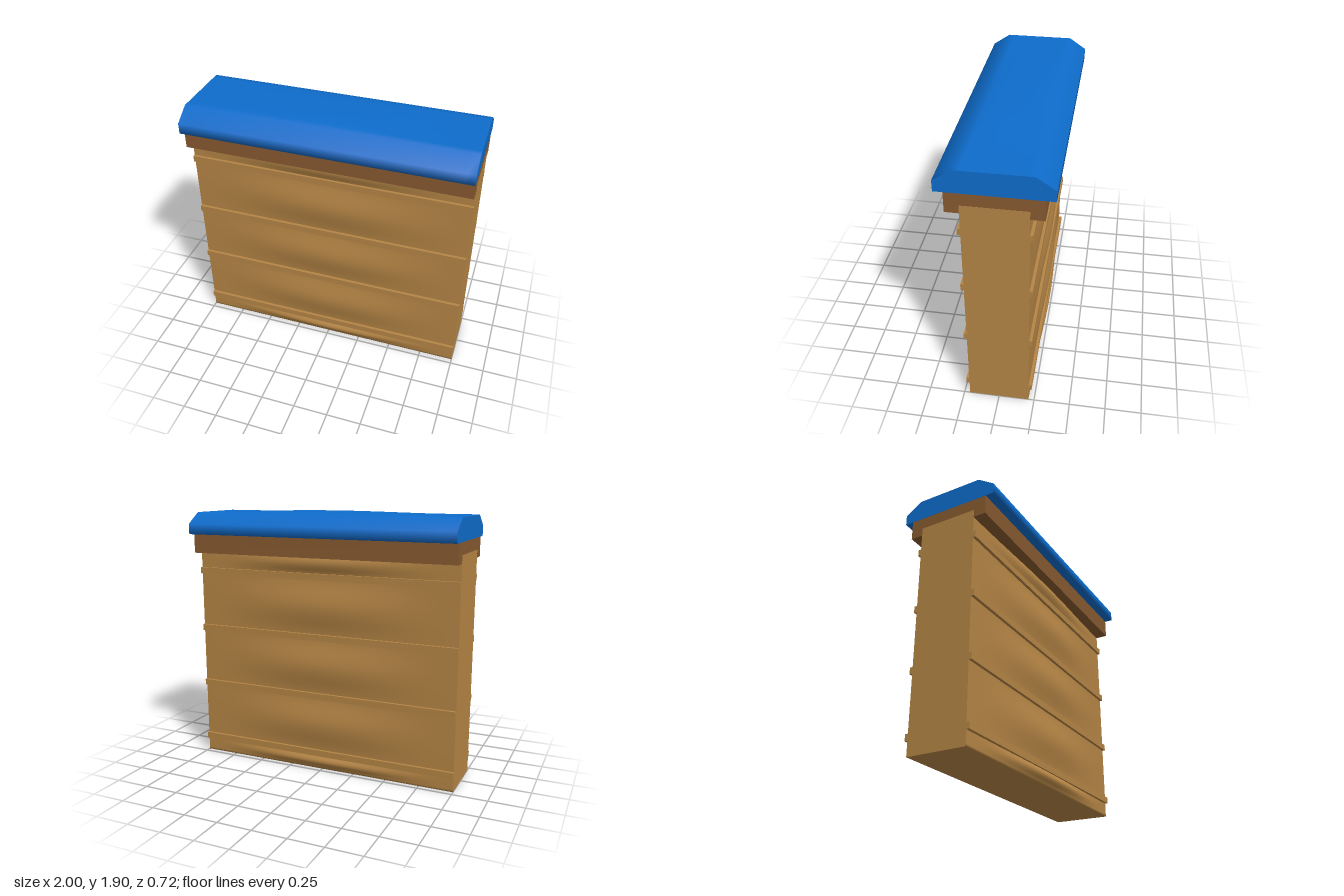
import * as THREE from 'three';
import { mergeGeometries } from 'three/addons/utils/BufferGeometryUtils.js';

const material = (name, color) => {
  const m = new THREE.MeshStandardMaterial({ color });
  m.name = name;
  return m;
};

// Swell along the length: nothing at the ends, full in the middle
const swell = (x) => Math.cos((Math.PI * x) / 2) ** 2;

// Loft closed [z, y] cross-sections along x: smooth skin, sharp flat end caps
function loft(section, length, steps) {
  const pos = [], index = [];
  const n = section(0).length;
  for (let i = 0; i <= steps; i++) {
    const t = -1 + (2 * i) / steps;
    for (const [z, y] of section(t)) pos.push((t * length) / 2, y, z);
  }
  for (let i = 0; i < steps; i++) {
    for (let j = 0; j < n; j++) {
      const k = (j + 1) % n;
      const a = i * n + j, b = a + n, c = (i + 1) * n + k, d = i * n + k;
      index.push(a, b, c, a, c, d);
    }
  }
  const skin = new THREE.BufferGeometry();
  skin.setAttribute('position', new THREE.Float32BufferAttribute(pos, 3));
  skin.setIndex(index);
  skin.computeVertexNormals();

  const caps = [-1, 1].map((side) => {
    const pts = section(side).map(([z, y]) => new THREE.Vector2(z, y));
    const faces = THREE.ShapeUtils.triangulateShape(pts, []);
    const cap = new THREE.BufferGeometry();
    const verts = pts.flatMap((p) => [(side * length) / 2, p.y, p.x]);
    cap.setAttribute('position', new THREE.Float32BufferAttribute(verts, 3));
    cap.setIndex(faces.flatMap(([a, b, c]) => (side < 0 ? [a, b, c] : [a, c, b])));
    cap.computeVertexNormals();
    return cap;
  });
  return mergeGeometries([skin, ...caps]);
}

const STRIPS = [0.125, 0.565, 1.005, 1.445];
const WALL_TOP = 1.64;

// Wall section: padded bulges between the strips on both faces
function wallSection(x) {
  const stops = [0, ...STRIPS, WALL_TOP];
  const front = [];
  for (let s = 0; s < stops.length - 1; s++) {
    const steps = s === 0 || s === stops.length - 2 ? 8 : 18;
    for (let i = 0; i < steps; i++) {
      const t = i / steps;
      const y = stops[s] + (stops[s + 1] - stops[s]) * t;
      front.push([0.21 + 0.032 * swell(x) * Math.sin(Math.PI * t) ** 2, y]);
    }
  }
  front.push([0.21, WALL_TOP]);
  return [...front, ...front.map(([z, y]) => [-z, y]).reverse()];
}

// Coping section: upright eaves, sloped shoulders and a slightly crowned top
function copingSection(x) {
  const pts = [[0.36, 1.725], [0.36, 1.8]];
  for (let i = 0; i <= 12; i++) {
    const u = 1 - i / 6;
    pts.push([0.24 * u, 1.88 + 0.016 * swell(x) * (1 - u ** 4)]);
  }
  pts.push([-0.36, 1.8], [-0.36, 1.725]);
  return pts;
}

export function createModel() {
  const tan = material('tan wood', 0xb58545);
  const brown = material('brown wood', 0x875a30);
  const blue = material('blue roof', 0x0e6ccb);

  const model = new THREE.Group();
  model.name = 'wallSegment';
  const add = (name, geometry, mat, y = 0, z = 0) => {
    const mesh = new THREE.Mesh(geometry, mat);
    mesh.name = name;
    mesh.position.set(0, y, z);
    model.add(mesh);
  };

  add('wall', loft(wallSection, 2, 32), tan);

  // Horizontal battens on both faces
  for (const y of STRIPS) {
    for (const side of [1, -1]) {
      add(side > 0 ? 'frontStrip' : 'backStrip',
        new THREE.BoxGeometry(2, 0.046, 0.035), tan, y, side * 0.2135);
    }
  }

  // Beam under the coping, a hair shorter than the wall
  add('beam', new THREE.BoxGeometry(1.998, 0.148, 0.6), brown, 1.658);
  add('coping', loft(copingSection, 2, 32), blue);

  return model;
}
